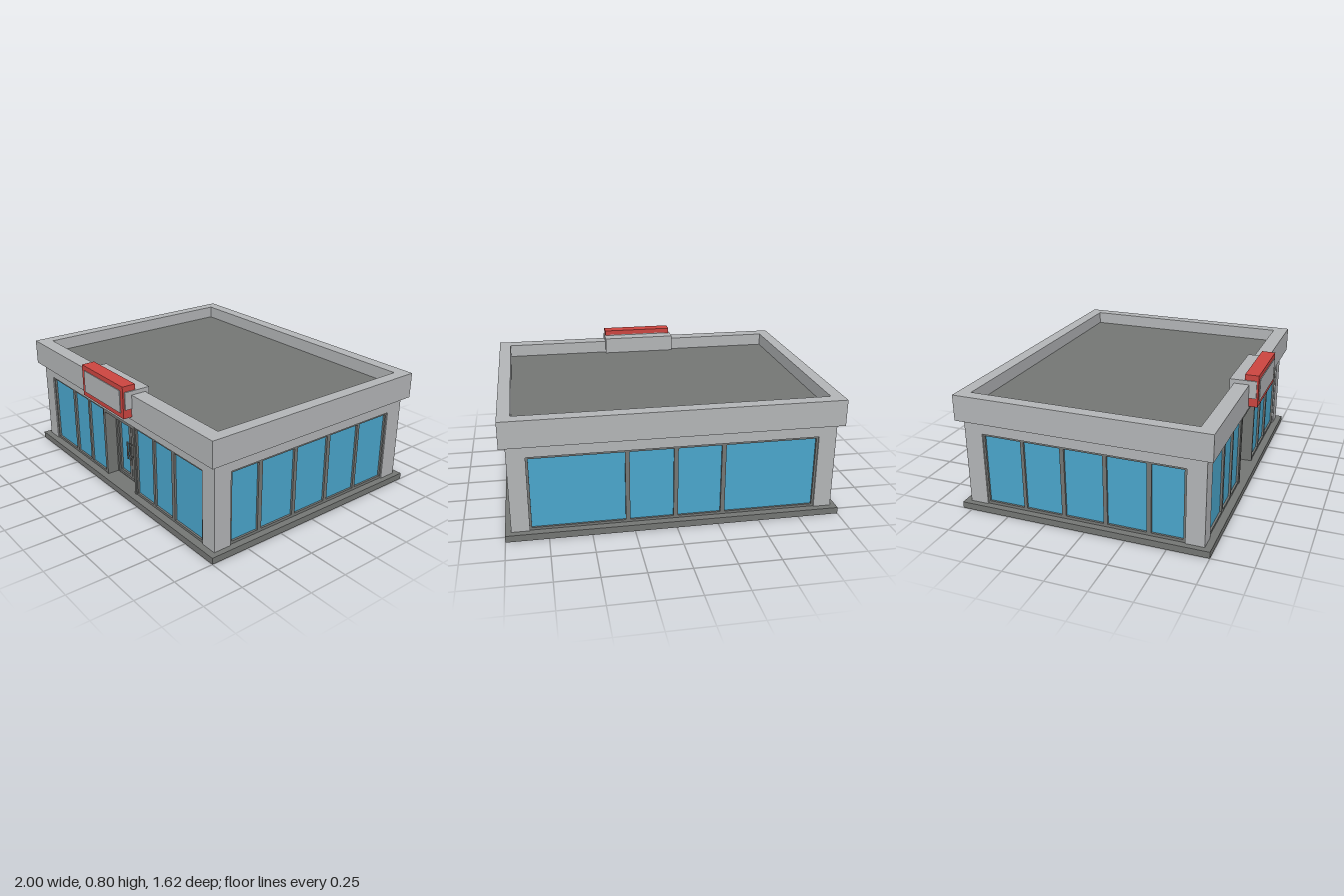
import * as THREE from 'three';

function material(name, color) {
  const m = new THREE.MeshStandardMaterial({ color });
  m.name = name;
  return m;
}

export function createModel() {
  const group = new THREE.Group();
  group.name = 'shopBuilding';
  const wallGrey = material('lightGreyWall', 0xb3b5b7);
  const darkGrey = material('darkGreyTrim', 0x747674);
  const glassBlue = material('blueGlass', 0x4aa6cc);
  const signRed = material('signRed', 0xcc4540);

  // Box given by its limits on each axis
  function box(name, mat, [x0, x1], [y0, y1], [z0, z1], parent = group) {
    const mesh = new THREE.Mesh(new THREE.BoxGeometry(x1 - x0, y1 - y0, z1 - z0), mat);
    mesh.position.set((x0 + x1) / 2, (y0 + y1) / 2, (z0 + z1) / 2);
    mesh.name = name;
    parent.add(mesh);
    return mesh;
  }

  function rect(Type, [x0, x1], [y0, y1]) {
    return new Type([[x0, y0], [x1, y0], [x1, y1], [x0, y1]].map(p => new THREE.Vector2(...p)));
  }

  // Flat frame with rectangular openings, its front face at z = 0
  function frame(name, mat, outX, outY, openings, openY, depth, parent) {
    const shape = rect(THREE.Shape, outX, outY);
    openings.forEach(o => shape.holes.push(rect(THREE.Path, o, openY)));
    const geo = new THREE.ExtrudeGeometry(shape, { depth, bevelEnabled: false });
    geo.translate(0, 0, -depth);
    const mesh = new THREE.Mesh(geo, mat);
    mesh.name = name;
    parent.add(mesh);
    return mesh;
  }

  // Frame and glass panes together, facing +z
  function glazing(name, outX, outY, panes, paneY) {
    const g = new THREE.Group();
    g.name = name;
    frame('windowFrame', darkGrey, outX, outY, panes, paneY, 0.03, g);
    panes.forEach(p => box('glassPane', glassBlue, p, paneY, [-0.021, -0.013], g));
    group.add(g);
    return g;
  }

  // Plinth, lintel band and corner piers
  box('plinth', darkGrey, [-1, 1], [0, 0.04], [-0.81, 0.75]);
  box('lintelBand', wallGrey, [-0.965, 0.965], [0.503, 0.58], [-0.77, 0.71]);
  for (const x of [[-0.965, -0.858], [0.858, 0.965]]) {
    for (const z of [[-0.77, -0.655], [0.597, 0.71]]) {
      box('cornerPier', wallGrey, x, [0.04, 0.503], z);
    }
  }

  // Parapet ring with the sunken roof inside
  const ring = rect(THREE.Shape, [-1, 1], [-0.75, 0.81]);
  ring.holes.push(rect(THREE.Path, [-0.925, 0.925], [-0.657, 0.73]));
  const ringGeo = new THREE.ExtrudeGeometry(ring, { depth: 0.16, bevelEnabled: false });
  ringGeo.rotateX(-Math.PI / 2);
  const parapet = new THREE.Mesh(ringGeo, wallGrey);
  parapet.name = 'parapet';
  parapet.position.y = 0.58;
  group.add(parapet);
  box('roof', darkGrey, [-0.925, 0.925], [0.58, 0.66], [-0.73, 0.657]);

  // Front windows either side of the entrance
  const frontPanes = [[0.193, 0.367], [0.387, 0.56], [0.587, 0.845]];
  const mirror = panes => panes.map(([a, b]) => [-b, -a]);
  glazing('frontWindowLeft', [0.175, 0.858], [0.04, 0.503], frontPanes, [0.055, 0.49]).position.z = 0.702;
  glazing('frontWindowRight', [-0.858, -0.175], [0.04, 0.503], mirror(frontPanes), [0.055, 0.49]).position.z = 0.702;

  // Back windows
  const back = glazing('backWindow', [-0.858, 0.858], [0.04, 0.503],
    [[-0.845, -0.298], [-0.272, -0.013], [0.013, 0.272], [0.298, 0.845]], [0.055, 0.49]);
  back.position.z = -0.762;
  back.rotation.y = Math.PI;

  // Side windows, listed along z and mirrored for the other wall
  const sidePanes = [[-0.643, -0.41], [-0.39, -0.16], [-0.134, 0.104], [0.128, 0.366], [0.394, 0.583]];
  const right = glazing('sideWindowRight', [-0.655, 0.597], [0.04, 0.503], sidePanes, [0.058, 0.49]);
  right.position.x = -0.957;
  right.rotation.y = -Math.PI / 2;
  const left = glazing('sideWindowLeft', [-0.597, 0.655], [0.04, 0.503], mirror(sidePanes), [0.058, 0.49]);
  left.position.x = 0.957;
  left.rotation.y = Math.PI / 2;

  // Recessed entrance: jambs, head, surround and two door leaves
  for (const s of [-1, 1]) {
    const jamb = box('entranceJamb', darkGrey, [-0.009, 0.009], [0.04, 0.503], [0.59, 0.706]);
    jamb.position.x = s * 0.171;
  }
  box('entranceHead', darkGrey, [-0.162, 0.162], [0.482, 0.503], [0.59, 0.706]);
  frame('doorSurround', darkGrey, [-0.162, 0.162], [0.04, 0.482], [[-0.147, 0.147]], [0.045, 0.465], 0.03, group)
    .position.z = 0.63;
  for (const s of [-1, 1]) {
    const span = (a, b) => (s > 0 ? [a, b] : [-b, -a]);
    const leaf = glazing(s > 0 ? 'doorLeafLeft' : 'doorLeafRight', span(0.002, 0.147), [0.045, 0.465],
      [span(0.027, 0.132)], [0.063, 0.447]);
    leaf.position.z = 0.62;
    // Upright pull handle on two short stubs
    box('doorHandle', darkGrey, span(0.009, 0.018), [0.19, 0.31], [0.016, 0.024], leaf);
    for (const y of [0.205, 0.288]) {
      box('handleStub', darkGrey, span(0.01, 0.017), [y, y + 0.007], [0, 0.018], leaf);
    }
  }

  // Sign hung over the parapet
  box('signBracket', wallGrey, [-0.243, 0.243], [0.655, 0.765], [0.63, 0.795]);
  frame('signFrame', signRed, [-0.235, 0.235], [0.6, 0.8], [[-0.206, 0.206]], [0.63, 0.77], 0.085, group)
    .position.z = 0.805;
  box('signPanel', wallGrey, [-0.206, 0.206], [0.63, 0.77], [0.72, 0.81]);

  return group;
}
